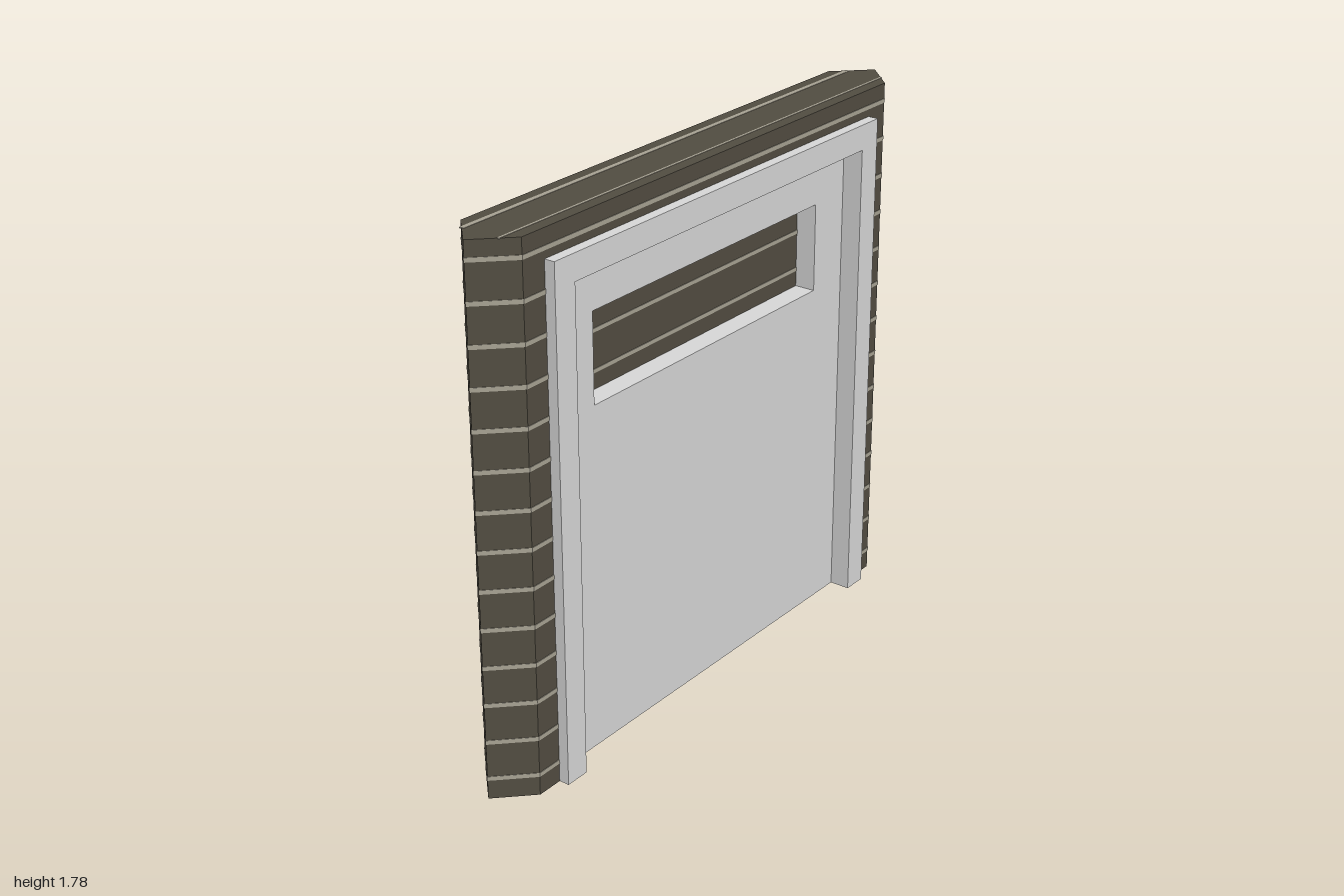
import * as THREE from 'three';

const material = (name, color) => {
  const m = new THREE.MeshStandardMaterial({ color });
  m.name = name;
  return m;
};

export function createModel() {
  const group = new THREE.Group();
  const wood = material('dark wood', 0x524d42);
  const gap = material('pale plank gap', 0xa8a394);
  const metal = material('light grey', 0xd8d8d8);

  const H = 1.78, D = 0.11;          // wall height and half depth
  const FX = 0.8, FY = 1.69;         // frame outer half width and height
  const IX = 0.715, IY = 1.605;      // frame inner half width and height
  const OUT = 0.002;                 // how far gap lines stand proud

  const add = (name, geometry, mat) => {
    const mesh = new THREE.Mesh(geometry, mat);
    mesh.name = name;
    group.add(mesh);
    return mesh;
  };
  const box = (name, mat, w, h, d, x, y, z = 0) =>
    add(name, new THREE.BoxGeometry(w, h, d).translate(x, y, z), mat);

  // Pointed wall end, extruded upwards from y
  const wallEnd = (side, grow, y, h) => {
    const d = D + grow;
    const pts = [[FX, -d], [0.89, -d], [1 + grow, 0], [0.89, d], [FX, d]];
    const shape = new THREE.Shape(pts.map(([x, z]) => new THREE.Vector2(x * side, z)));
    return new THREE.ExtrudeGeometry(shape, { depth: h, bevelEnabled: false })
      .rotateX(-Math.PI / 2).translate(0, y, 0);
  };

  for (const side of [-1, 1]) {
    const label = side > 0 ? 'left' : 'right';
    add(label + 'WallEnd', wallEnd(side, 0, 0, H), wood);
    // Plank gaps wrapping round the wall end
    for (let i = 0; i < 14; i++) {
      add(label + 'PlankGap', wallEnd(side, OUT, 0.064 + i * 0.127, 0.014), gap);
    }
    // Frame upright, with a dark foot
    box(label + 'FrameUpright', [metal, metal, metal, wood, metal, metal],
      FX - IX, FY, 0.29, side * (FX + IX) / 2, FY / 2);
  }

  // Lintel with its gap lines on the faces and top
  box('lintel', wood, FX * 2, H - FY, D * 2, 0, (H + FY) / 2);
  for (const z of [-D, D]) box('lintelGap', gap, FX * 2, 0.014, OUT * 2, 0, 1.722, z);
  box('topGapBack', gap, 1.87, OUT * 2, 0.016, 0, H - OUT, -0.065).position.y = 0.001;
  box('topGapFront', gap, 1.87, OUT * 2, 0.008, 0, H - OUT, 0.066).position.y = 0.001;

  // Frame header
  box('frameHeader', metal, IX * 2, FY - IY, 0.29, 0, (FY + IY) / 2);

  // Door slab with a long window opening
  const WX = 0.56, W0 = 1.155, W1 = 1.45;
  const rect = (Type, x, y0, y1) => new Type([[-x, y0], [x, y0], [x, y1], [-x, y1]]
    .map(([a, b]) => new THREE.Vector2(a, b)));
  const door = rect(THREE.Shape, IX, 0, IY);
  door.holes.push(rect(THREE.Path, WX, W0, W1));
  add('door', new THREE.ExtrudeGeometry(door, { depth: 0.15, bevelEnabled: false })
    .translate(0, 0, -0.075), metal);

  // Planked panel inside the opening
  box('windowPanel', wood, WX * 2, W1 - W0, 0.008, 0, (W0 + W1) / 2);
  for (const y of [1.214, 1.343]) box('windowPanelGap', gap, WX * 2, 0.013, 0.012, 0, y);

  return group;
}
